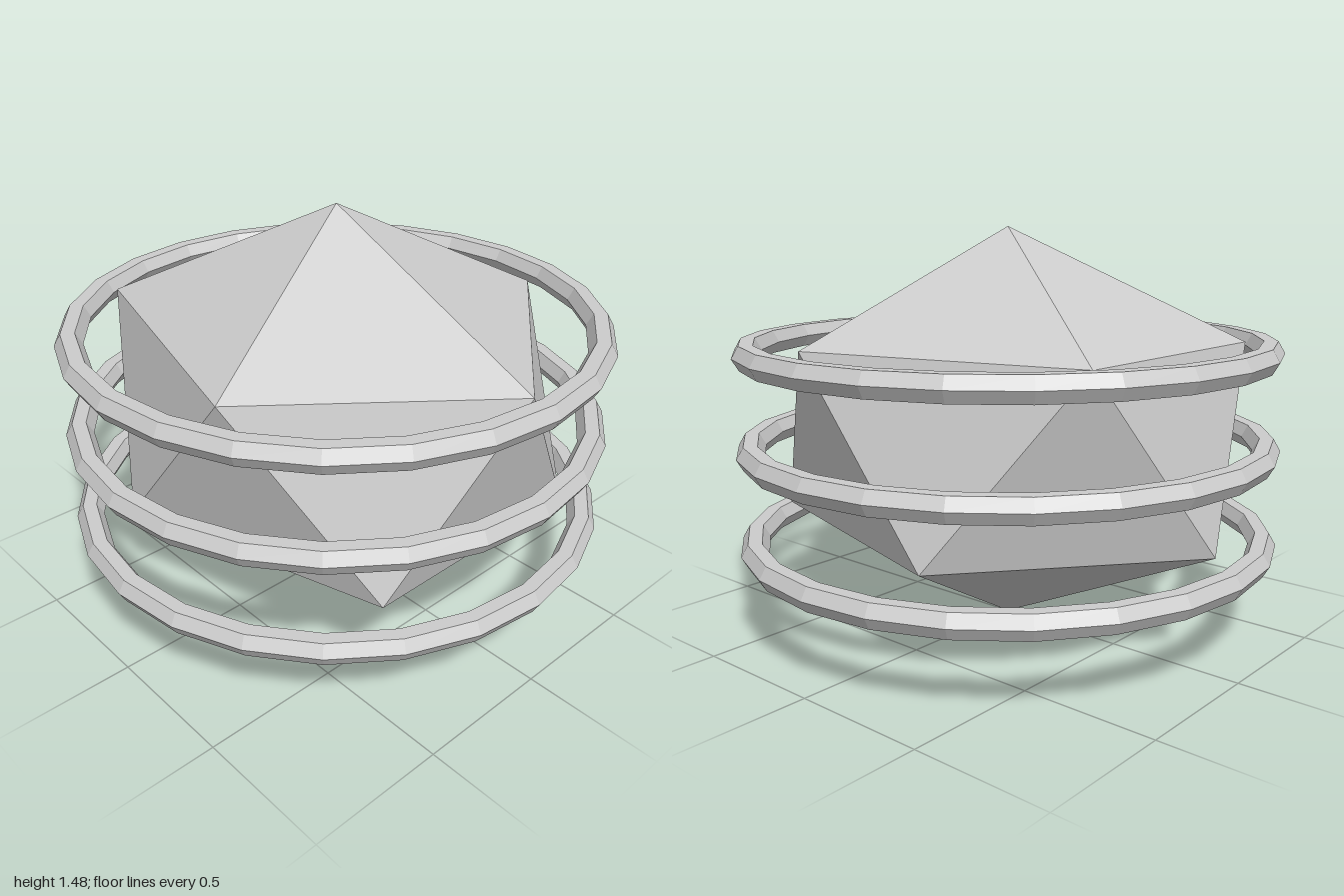
import * as THREE from 'three';

const HEIGHT = 1.476;
const RADIUS_X = 0.898;
const RADIUS_Z = 0.792;
const UPPER_Y = 1.068;
const LOWER_Y = 0.408;

// Stretched icosahedron: two apexes and two staggered five-point belts
function crystalGeometry() {
  const belt = (k, offset, y) => {
    const a = ((k + offset) * Math.PI * 2) / 5;
    return [RADIUS_X * Math.cos(a), y, RADIUS_Z * Math.sin(a)];
  };
  const top = [0, HEIGHT, 0];
  const bottom = [0, 0, 0];
  const positions = [];
  const face = (...corners) => corners.forEach((c) => positions.push(...c));
  for (let k = 0; k < 5; k++) {
    const u0 = belt(k, 0, UPPER_Y);
    const u1 = belt(k + 1, 0, UPPER_Y);
    const l0 = belt(k, 0.5, LOWER_Y);
    const l1 = belt(k + 1, 0.5, LOWER_Y);
    face(top, u1, u0);
    face(u0, u1, l0);
    face(l0, u1, l1);
    face(bottom, l0, l1);
  }
  const geometry = new THREE.BufferGeometry();
  geometry.setAttribute('position', new THREE.Float32BufferAttribute(positions, 3));
  geometry.computeVertexNormals();
  return geometry;
}

export function createModel() {
  const model = new THREE.Group();
  model.name = 'ringedCrystal';

  const grey = new THREE.MeshStandardMaterial({ color: 0xcccccc, flatShading: true });
  grey.name = 'light grey';

  const crystal = new THREE.Mesh(crystalGeometry(), grey);
  crystal.name = 'crystal';
  model.add(crystal);

  // Three level rings of hexagonal section around the crystal
  const ringGeometry = new THREE.TorusGeometry(0.95, 0.05, 6, 24).rotateX(Math.PI / 2);
  const ringNames = ['lowerRing', 'middleRing', 'upperRing'];
  ringNames.forEach((name, i) => {
    const ring = new THREE.Mesh(ringGeometry, grey);
    ring.name = name;
    ring.position.y = 0.326 + i * 0.354;
    model.add(ring);
  });

  return model;
}
